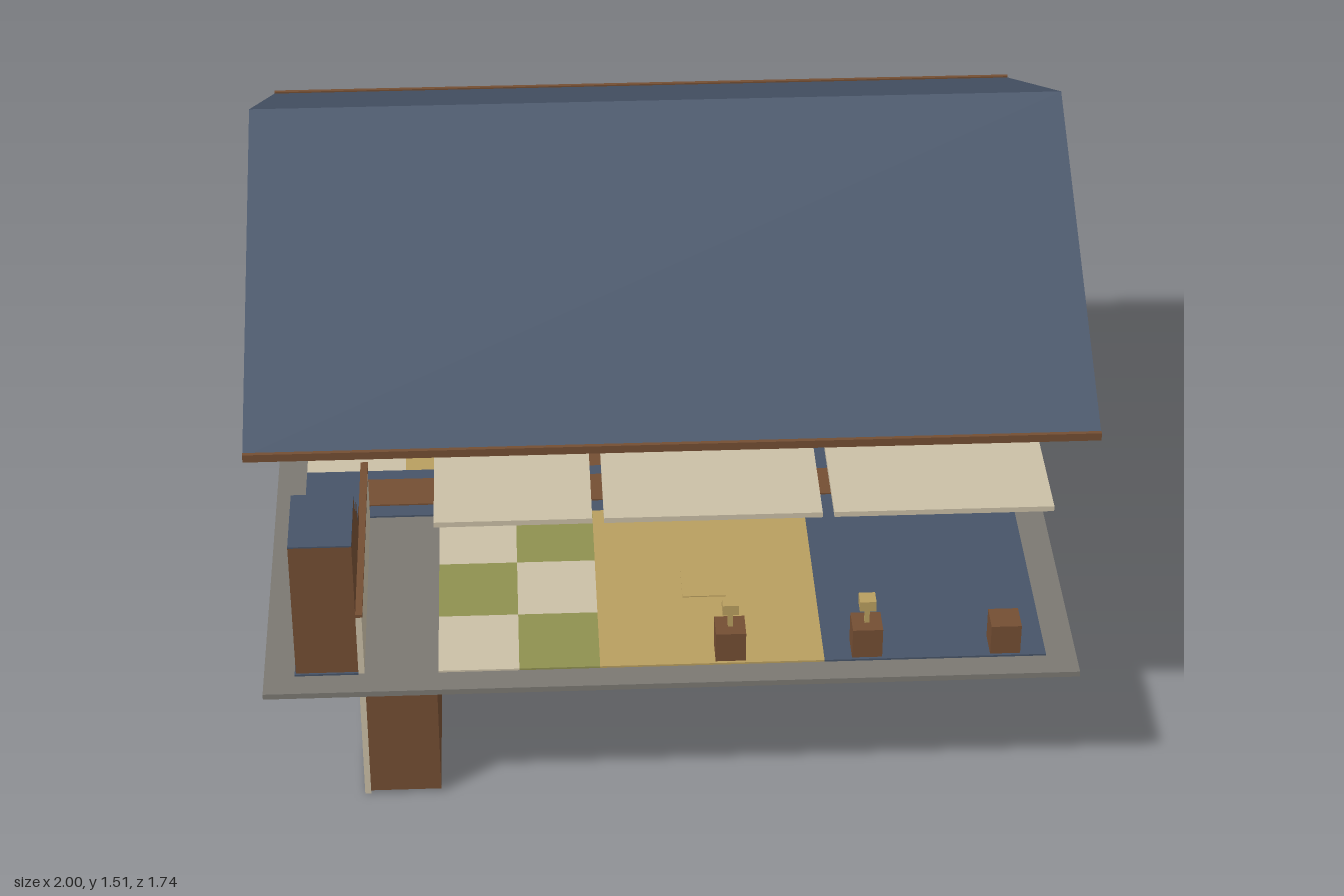
import * as THREE from 'three';

const mat = (name, color) => {
  const m = new THREE.MeshStandardMaterial({ color });
  m.name = name;
  return m;
};

export function createModel() {
  const model = new THREE.Group();
  model.name = 'cutawayHouse';

  const blue = mat('slateBlue', 0x475468);
  const brown = mat('woodBrown', 0x744e33);
  const cream = mat('plasterCream', 0xcabfa6);
  const gold = mat('warmGold', 0xb89e5f);
  const green = mat('leafGreen', 0x8e9050);
  const grey = mat('stoneGrey', 0x7b7872);
  const dark = mat('darkLeather', 0x362a26);

  // Box given by its minimum and maximum on each axis
  const box = (name, m, x0, x1, y0, y1, z0, z1, parent = model) => {
    const mesh = new THREE.Mesh(new THREE.BoxGeometry(x1 - x0, y1 - y0, z1 - z0), m);
    mesh.position.set((x0 + x1) / 2, (y0 + y1) / 2, (z0 + z1) / 2);
    mesh.name = name;
    parent.add(mesh);
    return mesh;
  };
  const group = (name) => {
    const g = new THREE.Group();
    g.name = name;
    model.add(g);
    return g;
  };

  // Gabled roof: a triangle in z/y extruded along x
  const gable = new THREE.Shape([
    new THREE.Vector2(-0.868, 1.08),
    new THREE.Vector2(0.868, 1.08),
    new THREE.Vector2(0, 1.515),
  ]);
  const roofGeo = new THREE.ExtrudeGeometry(gable, { depth: 2, bevelEnabled: false });
  roofGeo.translate(0, 0, -1);
  roofGeo.rotateY(Math.PI / 2);
  const roof = new THREE.Mesh(roofGeo, blue);
  roof.name = 'roof';
  model.add(roof);
  for (const s of [-1, 1]) {
    const z = 0.867 * s;
    box('fascia', brown, -1, 1, 1.067, 1.087, z - 0.005, z + 0.005);
  }

  // Ground slab
  box('floorSlab', grey, -0.995, 0.995, 0.365, 0.38, -0.868, 0.868);

  // Room floors
  const floors = group('floors');
  const floor = (name, m, x0, x1, z0, z1) => box(name, m, x0, x1, 0.38, 0.385, z0, z1, floors);
  const checker = (name, m, x0, x1, z0, z1) => {
    const w = (x1 - x0) / 2, d = (z1 - z0) / 3;
    for (let i = 0; i < 2; i++) {
      for (let j = 0; j < 3; j++) {
        floor(name, (i + j) % 2 ? m : cream, x0 + i * w, x0 + (i + 1) * w, z0 + j * d, z0 + (j + 1) * d);
      }
    }
  };
  floor('hallFloor', blue, -0.92, 0.92, -0.06, 0.145);
  floor('frontRoomFloor', blue, 0.375, 0.92, 0.145, 0.8);
  floor('livingRoomFloor', gold, -0.175, 0.375, 0.145, 0.8);
  checker('frontTile', green, -0.57, -0.175, 0.145, 0.8);
  floor('stairFloor', blue, -0.92, -0.765, 0.145, 0.8);
  floor('backRoomFloor', blue, 0.1, 0.92, -0.8, -0.06);
  floor('studyFloor', brown, -0.4, 0.1, -0.8, -0.06);
  checker('kitchenTile', gold, -0.92, -0.4, -0.8, -0.06);
  box('hallRunner', brown, -0.78, 0.78, 0.385, 0.389, -0.015, 0.1);
  box('backRug', blue, 0.64, 0.76, 0.385, 0.388, -0.49, -0.37);
  box('livingRug', gold, 0.04, 0.15, 0.385, 0.388, 0.42, 0.53);

  // Ceiling panels with square light fittings: x0, x1, z0, z1, has light
  const ceilings = group('ceilings');
  for (const [x0, x1, z0, z1, lit] of [
    [-0.567, -0.19, 0.157, 0.795, true],
    [-0.162, 0.36, 0.157, 0.795, true],
    [0.388, 0.915, 0.157, 0.795, true],
    [-0.917, 0.915, -0.045, 0.13, true],
    [-0.917, -0.412, -0.795, -0.07, true],
    [-0.388, 0.088, -0.795, -0.07, false],
    [0.112, 0.915, -0.795, -0.07, true],
  ]) {
    box('ceilingPanel', cream, x0, x1, 0.812, 0.826, z0, z1, ceilings);
    const x = (x0 + x1) / 2, z = (z0 + z1) / 2;
    if (lit) box('ceilingLight', gold, x - 0.042, x + 0.042, 0.802, 0.812, z - 0.042, z + 0.042, ceilings);
  }

  // Upper stairwell enclosure
  box('stairwellCeiling', cream, -0.917, -0.58, 1.066, 1.079, 0.157, 0.795);
  box('stairwellLight', gold, -0.795, -0.715, 1.056, 1.066, 0.435, 0.517);
  box('stairwellWall', gold, -0.905, -0.58, 0.824, 1.08, 0.132, 0.156);
  box('stairwellPost', brown, -0.917, -0.905, 0.824, 1.066, 0.132, 0.156);

  // Rising staircase with carpeted treads
  const stairs = group('stairs');
  for (let i = 0; i < 7; i++) {
    const top = 0.435 + i * 0.055;
    const z0 = 0.22 + i * 0.06;
    const z1 = i === 6 ? 0.795 : z0 + 0.06;
    box('step', brown, -0.917, -0.765, 0.38, top - 0.004, z0, z1, stairs);
    box('tread', blue, -0.917, -0.765, top - 0.004, top, z0, z1, stairs);
  }
  box('stairWall', cream, -0.765, -0.75, 0.38, 0.55, 0.148, 0.795, stairs);
  box('handRail', brown, -0.767, -0.748, 0.55, 0.558, 0.148, 0.795, stairs);

  // Stair block below the slab
  box('lowerStairBlock', brown, -0.75, -0.575, 0.01, 0.365, 0.148, 0.795);
  box('lowerEndPanel', brown, -0.75, -0.575, 0.01, 0.365, 0.128, 0.146);
  box('lowerStairWall', cream, -0.765, -0.75, 0, 0.365, 0.148, 0.795);

  // Bedside cabinets, two of them with lamps
  [0.145, 0.48, 0.82].forEach((x, i) => {
    const g = group('cabinet');
    box('cabinetBody', brown, x - 0.037, x + 0.037, 0.385, 0.467, 0.72, 0.793, g);
    if (i === 2) return;
    box('lampStem', gold, x - 0.006, x + 0.006, 0.467, 0.512, 0.75, 0.762, g);
    box('lampShade', gold, x - 0.02, x + 0.02, 0.512, 0.54, 0.736, 0.776, g);
  });

  // Potted plant
  const plant = group('plant');
  for (const [name, m, r, y0, y1] of [
    ['pot', brown, 0.034, 0.385, 0.45],
    ['foliage', green, 0.05, 0.45, 0.54],
    ['crown', green, 0.03, 0.54, 0.582],
  ]) {
    box(name, m, -0.308 - r, -0.308 + r, y0, y1, -0.735 - r, -0.735 + r, plant);
  }

  // Armchair turned into the room
  const chair = group('armchair');
  chair.position.set(0.205, 0, -0.7);
  chair.rotation.y = -0.72;
  box('seat', dark, -0.075, 0.075, 0.385, 0.44, -0.065, 0.065, chair);
  box('chairBack', dark, -0.075, 0.075, 0.385, 0.531, -0.065, -0.035, chair);
  for (const s of [-1, 1]) {
    box('armRest', dark, s * 0.064 - 0.011, s * 0.064 + 0.011, 0.385, 0.485, -0.035, 0.065, chair);
  }

  // Kitchen counter
  const counter = group('counter');
  box('counterBody', cream, -0.915, -0.8, 0.385, 0.534, -0.505, -0.348, counter);
  box('counterTop', gold, -0.917, -0.796, 0.534, 0.541, -0.509, -0.344, counter);
  box('canister', cream, -0.875, -0.835, 0.541, 0.572, -0.4, -0.36, counter);

  return model;
}
